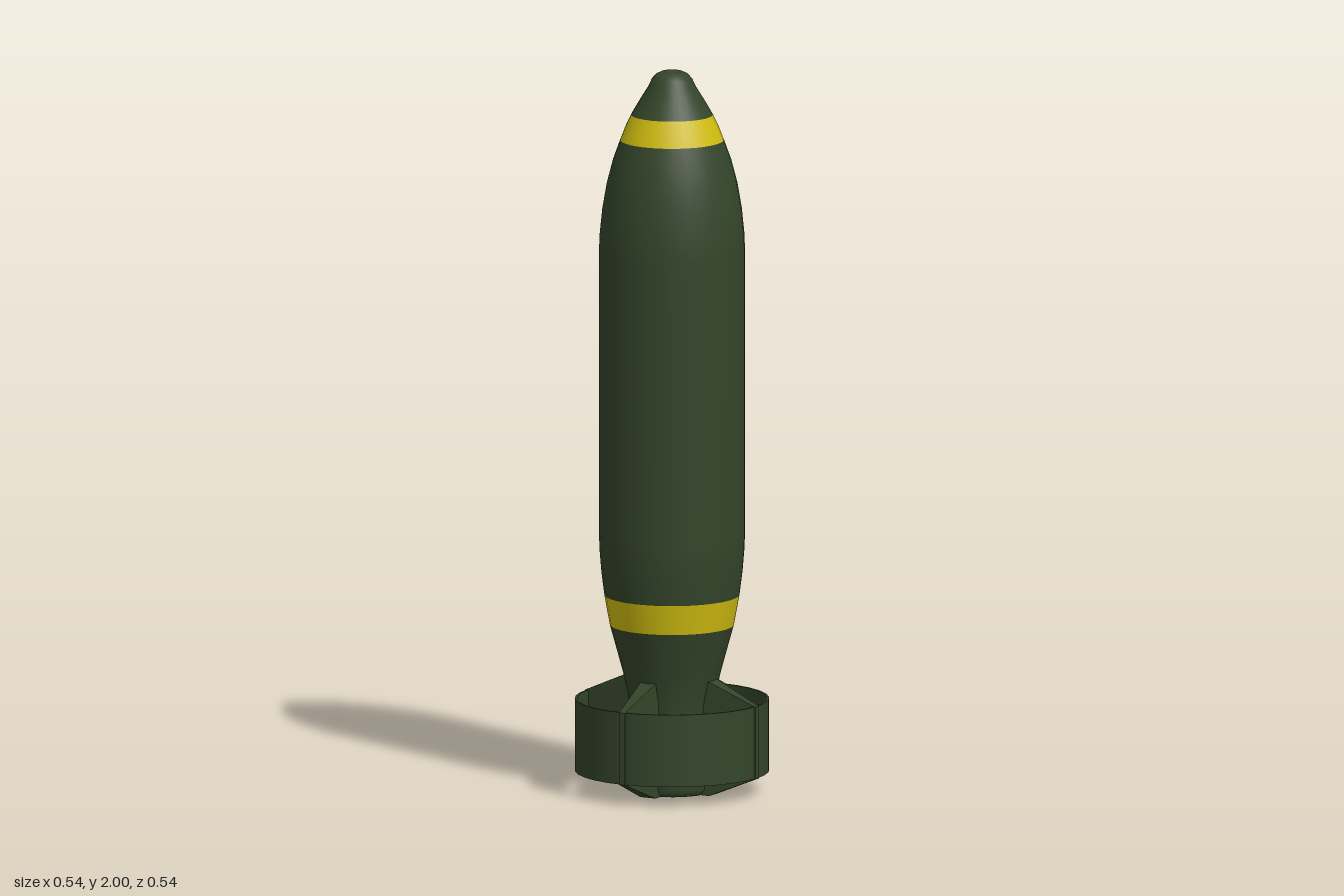
import * as THREE from 'three';

const SIDES = 32;
const green = new THREE.MeshStandardMaterial({ color: 0x34452a, side: THREE.DoubleSide });
const yellow = new THREE.MeshStandardMaterial({ color: 0xd0bd10 });

const points = (list) => list.map(([r, y]) => new THREE.Vector2(r, y));

function lathe(name, profile, material) {
  const mesh = new THREE.Mesh(new THREE.LatheGeometry(points(profile), SIDES), material);
  mesh.name = name;
  return mesh;
}

// Fin outline swept sideways, thick at the root and thin at the tip
function finGeometry() {
  const outline = new THREE.Shape(points([
    [0.09, 0.005], [0.13, 0.003], [0.27, 0.06], [0.27, 0.26], [0.13, 0.32], [0.09, 0.34],
  ]));
  const geometry = new THREE.ExtrudeGeometry(outline, { depth: 1, bevelEnabled: false });
  const pos = geometry.attributes.position;
  for (let i = 0; i < pos.count; i++) {
    const half = THREE.MathUtils.mapLinear(pos.getX(i), 0.09, 0.27, 0.028, 0.009);
    pos.setZ(i, (pos.getZ(i) - 0.5) * 2 * half);
  }
  geometry.computeVertexNormals();
  return geometry;
}

export function createModel() {
  const group = new THREE.Group();

  // Body, split where the painted bands sit
  group.add(
    lathe('tailCone', [
      [0, 0.04], [0.075, 0.04], [0.082, 0.015], [0.095, 0.003], [0.11, 0.004], [0.12, 0.02],
      [0.12, 0.06], [0.112, 0.12], [0.112, 0.2], [0.12, 0.27], [0.133, 0.33], [0.152, 0.4], [0.17, 0.465],
    ], green),
    lathe('rearBand', [[0.17, 0.465], [0.178, 0.508], [0.185, 0.548]], yellow),
    lathe('mainBody', [
      [0.185, 0.548], [0.193, 0.61], [0.198, 0.67], [0.2, 0.72], [0.2, 1.11], [0.2, 1.5],
      [0.198, 1.55], [0.191, 1.62], [0.179, 1.69], [0.162, 1.755], [0.142, 1.81],
    ], green),
    lathe('noseBand', [[0.142, 1.81], [0.128, 1.846], [0.112, 1.88]], yellow),
    lathe('noseTip', [
      [0.112, 1.88], [0.088, 1.921], [0.064, 1.96], [0.055, 1.98], [0.043, 1.993], [0.028, 2], [0, 2],
    ], green),
  );

  // Four tail fins
  const fin = finGeometry();
  for (let i = 0; i < 4; i++) {
    const mesh = new THREE.Mesh(fin, green);
    mesh.name = 'tailFin' + (i + 1);
    mesh.rotation.y = (i * Math.PI) / 2;
    group.add(mesh);
  }

  // Thin ring around the fins: separate walls and rims keep the edges crisp
  const ring = new THREE.Group();
  ring.name = 'tailRing';
  const [inner, outer, low, high] = [0.26, 0.266, 0.06, 0.26];
  ring.add(
    lathe('ringOuterWall', [[outer, low], [outer, high]], green),
    lathe('ringTopRim', [[outer, high], [inner, high]], green),
    lathe('ringInnerWall', [[inner, high], [inner, low]], green),
    lathe('ringBottomRim', [[inner, low], [outer, low]], green),
  );
  group.add(ring);

  return group;
}
